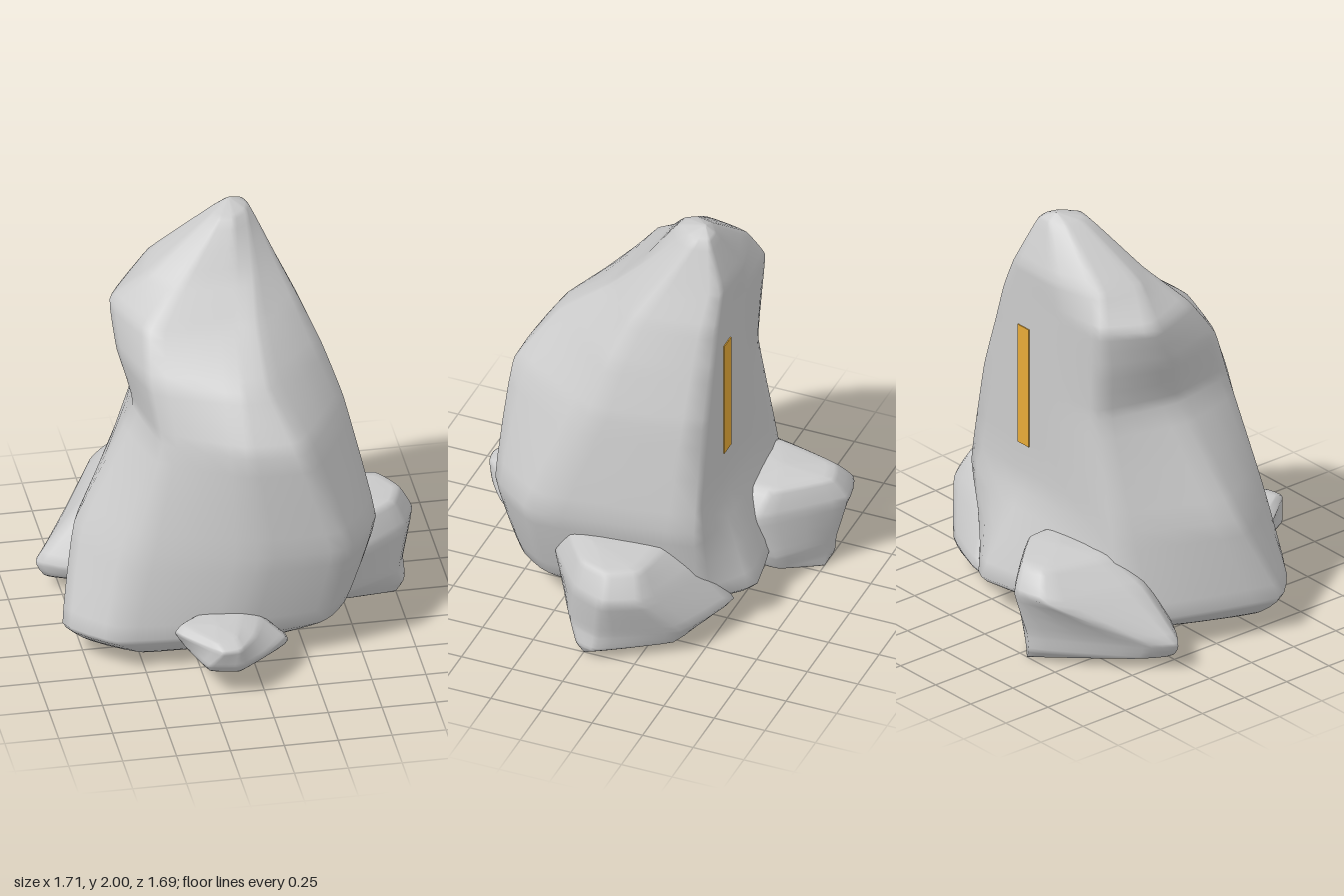
import * as THREE from 'three';

const stone = new THREE.MeshStandardMaterial({ color: 0xcccccc });
const gold = new THREE.MeshStandardMaterial({ color: 0xe8ab38 });

// Lofts a smooth boulder through level outlines [y, x, z, x, z, ...], listed
// bottom to top, each running clockwise as seen from above.
function boulder(name, bottom, levels, top, limit = (p) => p) {
  const steps = 4, tension = 0.15;
  const n = (levels[0].length - 1) / 2;
  const spans = levels.length + 1;

  // one vertical spline per outline corner
  const columns = [];
  for (let k = 0; k < n; k++) {
    const pts = levels.map((l) => new THREE.Vector3(l[1 + 2 * k], l[0], l[2 + 2 * k]));
    columns.push(new THREE.CatmullRomCurve3(
      [new THREE.Vector3(...bottom), ...pts, new THREE.Vector3(...top)], false, 'catmullrom', tension));
  }

  // rings across the columns, closed by the two poles
  const around = n * steps, rings = spans * steps - 1;
  const pos = [...bottom];
  for (let i = 1; i <= rings; i++) {
    const corners = columns.map((c) => c.getPoint(i / (spans * steps)));
    const ring = new THREE.CatmullRomCurve3(corners, true, 'catmullrom', tension);
    for (let j = 0; j < around; j++) pos.push(...limit(ring.getPoint(j / around)).toArray());
  }
  pos.push(...top);

  const at = (i, j) => 1 + i * around + (j % around);
  const last = 1 + rings * around;
  const index = [];
  for (let j = 0; j < around; j++) {
    index.push(0, at(0, j), at(0, j + 1));
    for (let i = 0; i < rings - 1; i++) {
      const a = at(i, j), b = at(i, j + 1), c = at(i + 1, j + 1), d = at(i + 1, j);
      index.push(a, d, c, a, c, b);
    }
    index.push(at(rings - 1, j), last, at(rings - 1, j + 1));
  }
  const geo = new THREE.BufferGeometry();
  geo.setAttribute('position', new THREE.Float32BufferAttribute(pos, 3));
  geo.setIndex(index);
  geo.computeVertexNormals();
  const mesh = new THREE.Mesh(geo, stone);
  mesh.name = name;
  return mesh;
}

export function createModel() {
  const model = new THREE.Group();
  model.name = 'standingStone';

  // tall stone with a flat back; corners: back right, right, front right,
  // front, front left, left, back left, back
  const flatBack = (p) => {
    if (p.y > 0.64) p.z = Math.max(p.z, -0.435);
    return p;
  };
  model.add(boulder('mainStone', [-0.25, 0.01, 0.1], [
    [0.06, 0.25, -0.25, 0.3, 0.12, 0.18, 0.35, -0.1, 0.43, -0.5, 0.42, -0.72, 0.25, -0.48, -0.28, 0.1, -0.42],
    [0.18, 0.4, -0.41, 0.47, 0.29, 0.34, 0.48, -0.1, 0.54, -0.64, 0.5, -0.85, 0.29, -0.6, -0.43, 0.18, -0.62],
    [0.6, 0.48, -0.43, 0.6, 0.31, 0.41, 0.58, 0, 0.59, -0.55, 0.44, -0.76, 0.1, -0.5, -0.42, 0.1, -0.45],
    [1.12, 0.39, -0.43, 0.49, 0.1, 0.23, 0.57, -0.05, 0.57, -0.4, 0.36, -0.47, 0, -0.38, -0.39, -0.1, -0.43],
    [1.38, 0.31, -0.43, 0.4, 0.03, 0.1, 0.39, -0.05, 0.41, -0.43, 0.26, -0.53, -0.08, -0.4, -0.4, -0.1, -0.43],
    [1.58, 0.25, -0.43, 0.31, -0.05, 0.09, 0.15, -0.03, 0.15, -0.41, 0.12, -0.54, -0.2, -0.41, -0.41, -0.12, -0.43],
    [1.74, 0.18, -0.43, 0.23, -0.15, 0.1, -0.01, 0, 0, -0.25, -0.02, -0.37, -0.14, -0.33, -0.35, -0.1, -0.43],
    [1.96, 0.1, -0.35, 0.12, -0.29, 0.1, -0.22, 0.03, -0.16, -0.04, -0.17, -0.07, -0.22, -0.05, -0.3, 0.02, -0.35],
  ], [0.03, 2, -0.3], flatBack));

  // three small rocks around the foot
  model.add(boulder('sideRock', [0.75, 0, 0], [
    [0.06, 0.6, -0.38, 0.8, -0.08, 0.77, 0.03, 0.5, 0.12, 0.3, -0.1, 0.36, -0.42],
    [0.15, 0.62, -0.42, 0.8, -0.1, 0.74, 0.07, 0.45, 0.22, 0.28, -0.1, 0.29, -0.55],
    [0.36, 0.76, -0.3, 0.85, -0.13, 0.78, 0.04, 0.5, 0.25, 0.28, 0, 0.35, -0.42],
    [0.49, 0.7, -0.25, 0.78, -0.12, 0.73, 0.02, 0.5, 0.18, 0.36, 0, 0.45, -0.27],
  ], [0.6, 0.51, 0]));

  model.add(boulder('backRock', [-0.3, 0, -0.75], [
    [0.06, -0.35, -0.78, -0.12, -0.6, -0.15, -0.4, -0.6, -0.25, -0.8, -0.32, -0.72, -0.46],
    [0.15, -0.35, -0.79, -0.08, -0.6, -0.1, -0.35, -0.65, -0.2, -0.86, -0.32, -0.77, -0.46],
    [0.37, -0.33, -0.85, -0.04, -0.55, -0.04, -0.35, -0.5, -0.25, -0.66, -0.37, -0.52, -0.8],
    [0.49, -0.3, -0.78, -0.12, -0.58, -0.12, -0.42, -0.4, -0.35, -0.5, -0.45, -0.43, -0.74],
  ], [-0.3, 0.51, -0.55]));

  model.add(boulder('frontRock', [-0.15, 0.1, 0.65], [
    [0.13, -0.2, 0.45, 0.14, 0.56, 0, 0.69, -0.12, 0.78, -0.25, 0.75, -0.31, 0.55],
    [0.18, -0.2, 0.45, 0.13, 0.57, 0.01, 0.73, -0.12, 0.82, -0.27, 0.79, -0.35, 0.55],
    [0.27, -0.2, 0.45, 0.02, 0.53, -0.03, 0.7, -0.12, 0.83, -0.21, 0.84, -0.39, 0.62],
    [0.3, -0.2, 0.5, -0.07, 0.55, -0.1, 0.65, -0.13, 0.76, -0.23, 0.78, -0.35, 0.6],
  ], [-0.2, 0.31, 0.65]));

  // plain golden strip set into the flat back
  const strip = new THREE.Mesh(new THREE.BoxGeometry(0.08, 0.6, 0.03), gold);
  strip.name = 'goldInlay';
  strip.position.set(0.1, 1.13, -0.425);
  model.add(strip);

  return model;
}
